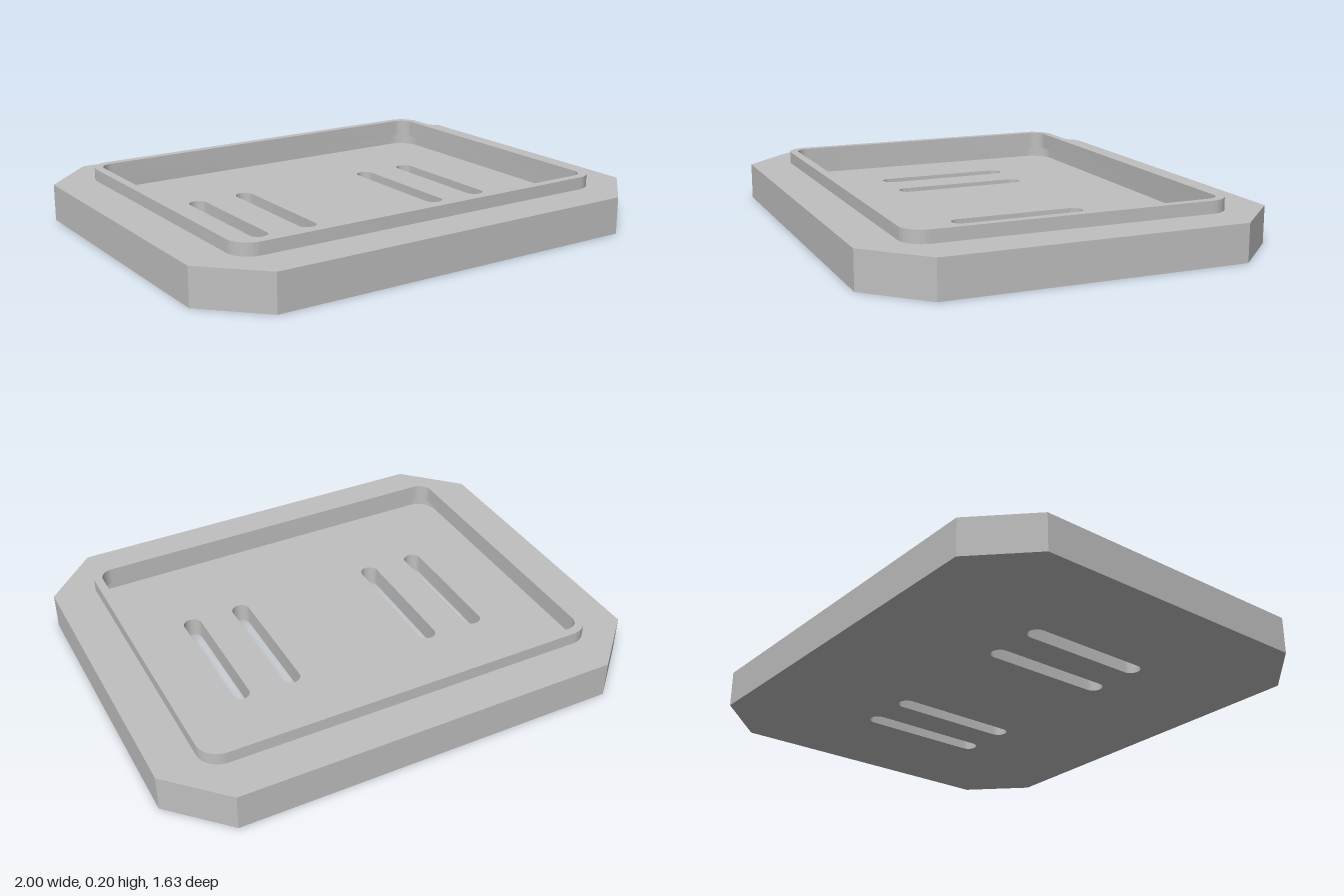
import * as THREE from 'three';
import { toCreasedNormals } from 'three/addons/utils/BufferGeometryUtils.js';

// Rounded rectangle outline, hw and hh are half sizes
function roundedRect(Type, cx, cy, hw, hh, r) {
  const p = new Type();
  p.absarc(cx + hw - r, cy + hh - r, r, 0, Math.PI / 2);
  p.absarc(cx - hw + r, cy + hh - r, r, Math.PI / 2, Math.PI);
  p.absarc(cx - hw + r, cy - hh + r, r, Math.PI, Math.PI * 1.5);
  p.absarc(cx + hw - r, cy - hh + r, r, Math.PI * 1.5, Math.PI * 2);
  p.closePath();
  return p;
}

// Rectangle with cut corners
function chamferedOutline() {
  const X = 1, Z = 0.815, x = 0.785, z = 0.6;
  return new THREE.Shape([
    [X, -z], [X, z], [x, Z], [-x, Z], [-X, z], [-X, -z], [-x, -Z], [x, -Z],
  ].map(([a, b]) => new THREE.Vector2(a, b)));
}

export function createModel() {
  const group = new THREE.Group();
  const material = new THREE.MeshStandardMaterial({ color: 0xbfbfbf });
  material.name = 'light grey';

  // Extrude a plan outline upward between two heights
  function slab(name, shape, y0, y1) {
    const extruded = new THREE.ExtrudeGeometry(shape, {
      depth: y1 - y0, bevelEnabled: false, curveSegments: 10,
    });
    extruded.rotateX(-Math.PI / 2);
    extruded.translate(0, y0, 0);
    const mesh = new THREE.Mesh(toCreasedNormals(extruded, Math.PI / 6), material);
    mesh.name = name;
    group.add(mesh);
  }

  // Floor with four through slots
  const floor = chamferedOutline();
  for (const x of [-0.525, -0.308, 0.308, 0.525]) {
    floor.holes.push(roundedRect(THREE.Path, x, 0, 0.037, 0.28, 0.0369));
  }
  slab('slottedFloor', floor, 0, 0.08);

  // Thick border around the recess
  const border = chamferedOutline();
  border.holes.push(roundedRect(THREE.Path, 0, 0, 0.83, 0.645, 0.09));
  slab('border', border, 0.08, 0.15);

  // Thin raised lip, overhanging the recess slightly
  const lip = roundedRect(THREE.Shape, 0, 0, 0.83, 0.645, 0.09);
  lip.holes.push(roundedRect(THREE.Path, 0, 0, 0.795, 0.61, 0.055));
  slab('raisedLip', lip, 0.13, 0.2);

  return group;
}
